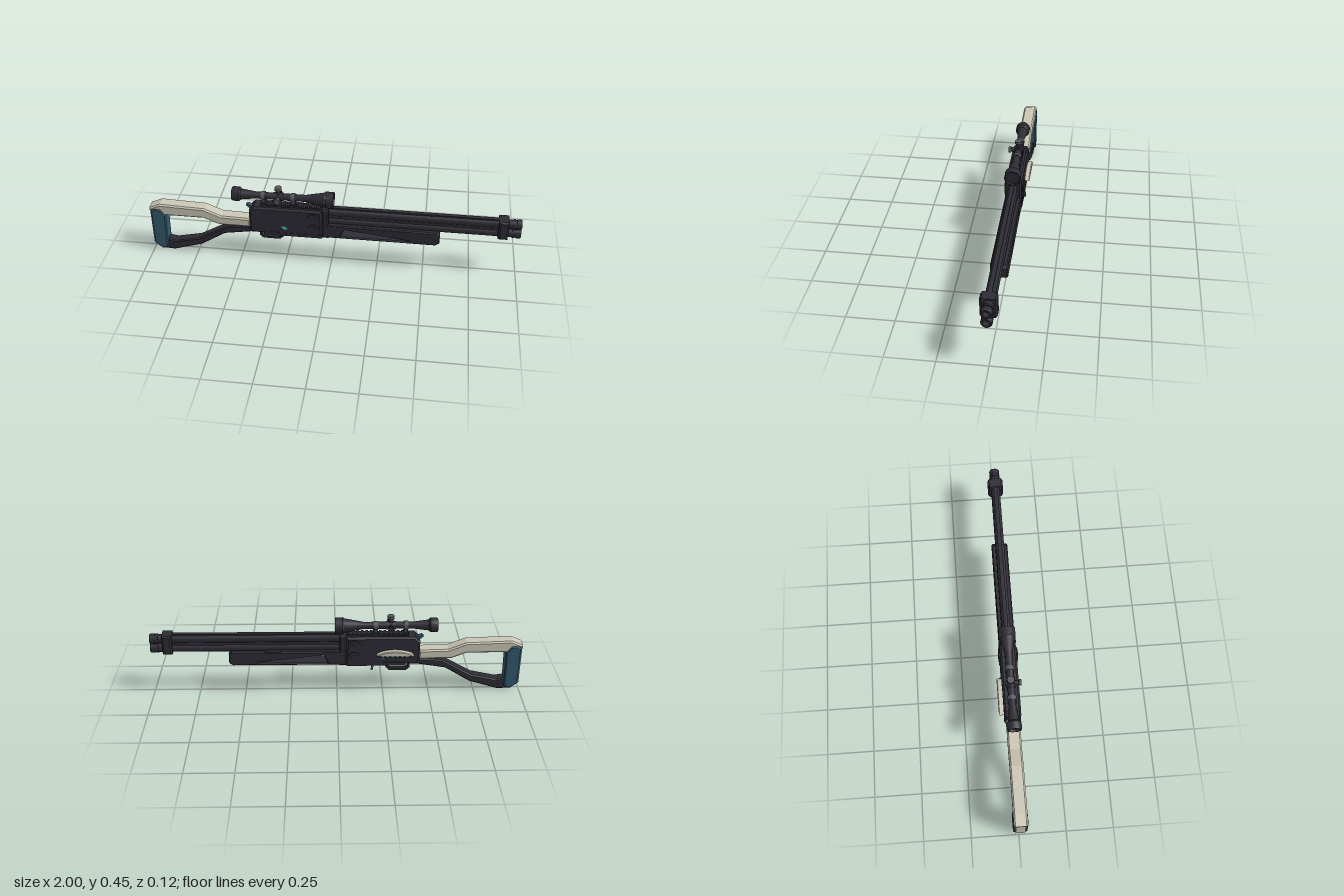
import * as THREE from 'three';
import { toCreasedNormals } from 'three/addons/utils/BufferGeometryUtils.js';

const mat = (name, color) => {
  const m = new THREE.MeshStandardMaterial({ color });
  m.name = name;
  return m;
};

export function createModel() {
  const model = new THREE.Group();
  model.name = 'rifle';
  model.position.z = 0.008;

  const dark = mat('gunmetal', 0x2d2c35);
  const steel = mat('steel', 0x55585b);
  const cream = mat('cream', 0xcbc7b6);
  const blue = mat('blue', 0x33596c);
  const teal = mat('teal', 0x4fc4b4);

  const add = (name, geo, material, x = 0, y = 0, z = 0) => {
    const m = new THREE.Mesh(geo, material);
    m.name = name;
    m.position.set(x, y, z);
    model.add(m);
    return m;
  };
  const shapeOf = (pts) => new THREE.Shape(pts.map(([x, y]) => new THREE.Vector2(x, y)));
  // Side outline extruded symmetrically across z with a chamfered rim
  const slab = (pts, half, bevel = 0, hole = null) => {
    const s = shapeOf(pts);
    if (hole) s.holes.push(new THREE.Path(hole.map(([x, y]) => new THREE.Vector2(x, y))));
    const g = new THREE.ExtrudeGeometry(s, {
      depth: 2 * (half - bevel), bevelEnabled: bevel > 0, bevelSize: bevel,
      bevelThickness: bevel, bevelOffset: -bevel, bevelSegments: 1, curveSegments: 8,
    });
    return g.translate(0, 0, -(half - bevel));
  };
  // Turned part along x from [x, radius] pairs
  const turned = (pts, sides = 24) => toCreasedNormals(
    new THREE.LatheGeometry(pts.map(([x, r]) => new THREE.Vector2(r, x)), sides).rotateZ(-Math.PI / 2), 0.5);
  const box = (w, h, d) => new THREE.BoxGeometry(w, h, d);
  const cyl = (r, len, sides = 20) => new THREE.CylinderGeometry(r, r, len, sides);
  const cylZ = (r, len, sides = 20) => cyl(r, len, sides).rotateX(Math.PI / 2);

  // Stock: cream upper arm, dark lower arm, blue butt
  add('upperStock', slab([[-1, 0.262], [-0.945, 0.265], [-0.92, 0.233], [-0.7, 0.233], [-0.615, 0.198],
    [-0.44, 0.198], [-0.44, 0.25], [-0.6, 0.254], [-0.695, 0.293], [-0.94, 0.302], [-1, 0.275]], 0.036, 0.008), cream);
  add('lowerStock', slab([[-0.97, 0.045], [-0.955, 0.004], [-0.885, 0], [-0.725, 0.05], [-0.59, 0.136],
    [-0.39, 0.17], [-0.39, 0.2], [-0.57, 0.185], [-0.735, 0.09], [-0.87, 0.06], [-0.92, 0.068]], 0.028, 0.006), dark);
  add('butt', slab([[-0.992, 0.04], [-0.95, 0.007], [-0.917, 0.022], [-0.912, 0.233], [-0.934, 0.265],
    [-0.965, 0.272], [-0.992, 0.26]], 0.038, 0.006), blue);
  add('buttPad', box(0.012, 0.225, 0.05), cream, -0.992, 0.152);

  // Receiver with side discs
  add('receiver', slab([[-0.445, 0.17], [-0.05, 0.17], [-0.05, 0.335], [-0.418, 0.335], [-0.445, 0.308]], 0.044, 0.01), dark);
  add('receiverFoot', slab([[-0.37, 0.165], [-0.05, 0.165], [-0.05, 0.185], [-0.36, 0.185]], 0.046), dark);
  for (const y of [0.285, 0.217]) {
    add('sideDisc', cylZ(0.033, 0.1), dark, -0.094, y);
    add('sideDiscBoss', cylZ(0.016, 0.104), dark, -0.094, y);
  }
  for (const s of [1, -1]) {
    add('statusLight', slab([[-0.27, 0.226], [-0.243, 0.226], [-0.234, 0.208], [-0.258, 0.208]], 0.002), teal, 0, 0, s * 0.0445);
  }
  add('hammer', slab([[-0.465, 0.325], [-0.455, 0.332], [-0.42, 0.318], [-0.405, 0.295], [-0.43, 0.295]], 0.012), blue);

  // Serrated top rail
  add('railBase', box(0.33, 0.008, 0.044), dark, -0.22, 0.337);
  for (let i = 0; i < 14; i++) add('railTooth', box(0.013, 0.01, 0.04), dark, -0.376 + i * 0.024, 0.343);

  // Trigger group
  add('triggerGuard', slab([[-0.396, 0.172], [-0.396, 0.134], [-0.378, 0.117], [-0.284, 0.117], [-0.264, 0.136], [-0.264, 0.172]],
    0.012, 0, [[-0.385, 0.172 - 0.002], [-0.275, 0.17], [-0.275, 0.14], [-0.288, 0.128], [-0.374, 0.128], [-0.385, 0.139]]), dark);
  add('trigger', slab([[-0.365, 0.172], [-0.35, 0.172], [-0.357, 0.15], [-0.37, 0.14], [-0.373, 0.145]], 0.006), steel);
  add('sideLever', slab([[-0.197, 0.172], [-0.185, 0.172], [-0.182, 0.145], [-0.19, 0.14], [-0.194, 0.15]], 0.004), steel, 0, 0, -0.048);

  // Shell holder on the back side: dark cradle, blue shells, cream arched cover
  add('shellCradle', slab([[-0.41, 0.237], [-0.385, 0.217], [-0.235, 0.217], [-0.21, 0.237]], 0.006), dark, 0, 0, -0.05);
  for (let i = 0; i < 6; i++) add('shell', cylZ(0.009, 0.026, 10), blue, -0.375 + i * 0.026, 0.232, -0.054);
  add('archedCover', slab([[-0.412, 0.234], [-0.21, 0.234], [-0.225, 0.246], [-0.26, 0.258], [-0.31, 0.263],
    [-0.36, 0.258], [-0.397, 0.246]], 0.015, 0.004), cream, 0, 0, -0.055);

  // Fore-end with through slot, and collar
  add('foreEnd', slab([[-0.05, 0.17], [0.56, 0.17], [0.58, 0.185], [0.58, 0.236], [0.562, 0.252], [-0.05, 0.252]], 0.044, 0.006,
    [[0.05, 0.173], [0.078, 0.244], [0.42, 0.244], [0.42, 0.173]].map(([x, y]) => [x, y + (y < 0.2 ? 0.01 : 0)])), dark);
  add('collar', slab([[-0.05, 0.166], [-0.014, 0.166], [-0.014, 0.347], [-0.05, 0.347]], 0.045, 0.008), dark);

  // Stacked barrels, rib and muzzle
  for (const y of [0.317, 0.263]) {
    add('barrel', turned([[-0.04, 0], [-0.04, 0.024], [0.955, 0.024], [0.955, 0.028], [0.966, 0.028], [0.966, 0.024],
      [0.972, 0.024], [0.972, 0.028], [0.995, 0.028], [1, 0.025], [1, 0.016], [0.97, 0.016], [0.97, 0]]), dark, 0, y);
  }
  add('barrelWeb', box(0.92, 0.054, 0.03), dark, 0.42, 0.29);
  add('topRib', box(0.9, 0.01, 0.022), dark, 0.43, 0.341);
  add('muzzleBlock', slab([[0.88, 0.238], [0.932, 0.238], [0.932, 0.349], [0.88, 0.349]], 0.042, 0.009), dark);

  // Scope on two ring mounts
  const axis = 0.388;
  add('scopeTube', turned([[-0.525, 0], [-0.525, 0.028], [-0.537, 0.031], [-0.537, 0.036], [-0.53, 0.039], [-0.497, 0.039],
    [-0.493, 0.035], [-0.488, 0.029], [-0.41, 0.019], [-0.14, 0.019], [-0.1, 0.027], [-0.035, 0.039],
    [-0.03, 0.044], [0.01, 0.044], [0.01, 0.038], [0, 0.036], [0, 0]]), dark, 0, axis);
  add('objectiveBand', turned([[-0.036, 0.03], [-0.036, 0.0445], [-0.031, 0.0445], [-0.031, 0.03]]), steel, 0, axis);
  for (const x of [-0.368, -0.208]) {
    add('scopeRing', turned([[-0.011, 0.015], [-0.011, 0.024], [0.011, 0.024], [0.011, 0.015]]), steel, x, axis);
    add('ringFoot', box(0.018, 0.03, 0.024), steel, x, 0.355);
    add('ringClamp', box(0.026, 0.01, 0.046), dark, x, 0.347);
  }
  add('turretSaddle', turned([[-0.026, 0.015], [-0.026, 0.023], [0.026, 0.023], [0.026, 0.015]]), dark, -0.287, axis);
  add('topTurretStem', cyl(0.013, 0.04), dark, -0.287, 0.415);
  add('topTurret', cyl(0.019, 0.013), steel, -0.287, 0.439);
  add('topTurretBase', cyl(0.019, 0.003), dark, -0.287, 0.43);
  add('sideTurretStem', cylZ(0.013, 0.07), dark, -0.287, axis, 0.005);
  add('sideTurret', cylZ(0.017, 0.013), steel, -0.287, axis, 0.048);
  add('rearTurret', cylZ(0.013, 0.008), dark, -0.287, axis, -0.043);

  return model;
}
